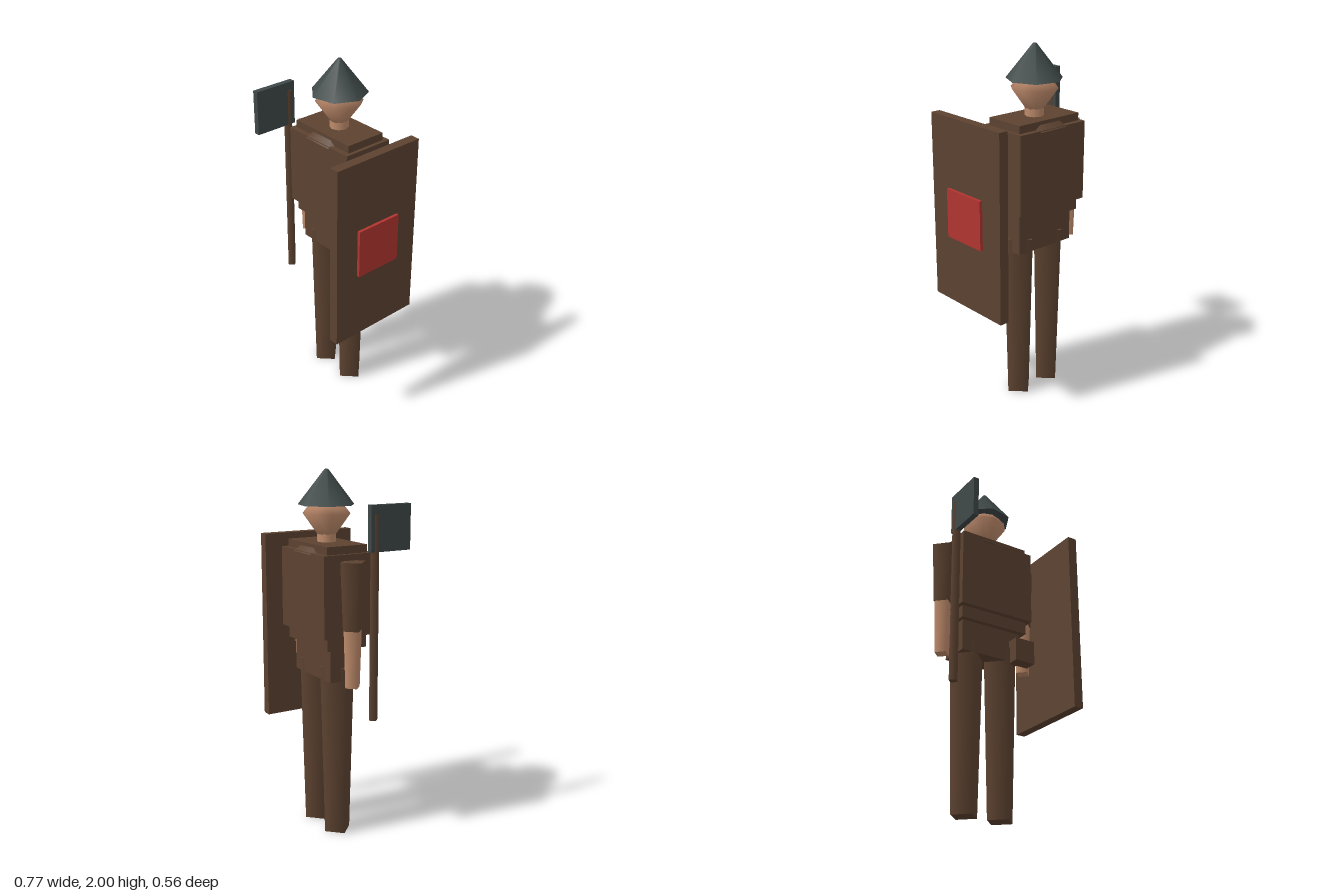
import * as THREE from 'three';

const mat = (name, color) => {
  const m = new THREE.MeshStandardMaterial({ color });
  m.name = name;
  return m;
};

export function createModel() {
  const leather = mat('brown leather', 0x5c4230);
  const skin = mat('skin', 0xc08c6c);
  const steel = mat('dark steel', 0x3f4848);
  const red = mat('red', 0xb23530);

  const model = new THREE.Group();
  model.name = 'axeman';
  const CX = -0.04, CZ = -0.09; // body axis

  const add = (name, geometry, material) => {
    const mesh = new THREE.Mesh(geometry, material);
    mesh.name = name;
    model.add(mesh);
    return mesh;
  };
  // box given by its limits on each axis
  const box = (name, material, [x0, x1], [y0, y1], [z0, z1]) =>
    add(name, new THREE.BoxGeometry(x1 - x0, y1 - y0, z1 - z0), material)
      .position.set((x0 + x1) / 2, (y0 + y1) / 2, (z0 + z1) / 2);
  // tapered column with a corner pointing to +x
  const column = (name, material, x, z, y0, y1, r0, r1, sides) => {
    const g = new THREE.CylinderGeometry(r1, r0, y1 - y0, sides);
    g.rotateY(Math.PI / 2);
    add(name, g, material).position.set(x, (y0 + y1) / 2, z);
  };

  // torso
  box('tunic', leather, [-0.25, 0.17], [1.07, 1.62], [-0.21, 0.03]);
  box('chestArmour', leather, [-0.27, 0.19], [1.14, 1.578], [-0.24, 0.06]);
  box('hips', leather, [-0.23, 0.145], [0.89, 1.07], [-0.18, 0]);
  box('pouch', leather, [0.075, 0.198], [0.875, 1.01], [-0.005, 0.07]);
  column('gorget', leather, CX, CZ, 1.57, 1.615, 0.18, 0.12, 6);

  // head
  column('neck', skin, CX, CZ, 1.6, 1.67, 0.052, 0.052, 8);
  const headProfile = [[0, 1.66], [0.05, 1.66], [0.128, 1.77], [0.08, 1.83], [0, 1.83]]
    .map(([r, y]) => new THREE.Vector2(r, y));
  add('head', new THREE.LatheGeometry(headProfile, 10), skin).position.set(CX, 0, CZ);
  column('helmet', steel, CX, CZ, 1.815, 2, 0.155, 0.01, 7);

  // limbs, mirrored about the body axis
  for (const [side, s] of [['left', 1], ['right', -1]]) {
    const armX = CX + s * 0.267;
    column(side + 'Sleeve', leather, armX, CZ, 1.185, 1.545, 0.06, 0.077, 4);
    column(side + 'Forearm', skin, armX, CZ, 0.875, 1.185, 0.045, 0.056, 4);
    column(side + 'Leg', leather, CX + s * 0.11, CZ, 0, 0.965, 0.08, 0.107, 4);
  }

  // axe
  column('axeHandle', leather, -0.307, 0.043, 0.67, 1.78, 0.027, 0.027, 4);
  box('axeBlade', steel, [-0.323, -0.291], [1.585, 1.828], [0.01, 0.255]);

  // shield
  box('shield', leather, [0.31, 0.365], [0.58, 1.635], [-0.279, 0.277]);
  box('shieldBoss', red, [0.365, 0.382], [0.968, 1.245], [-0.139, 0.137]);

  return model;
}
